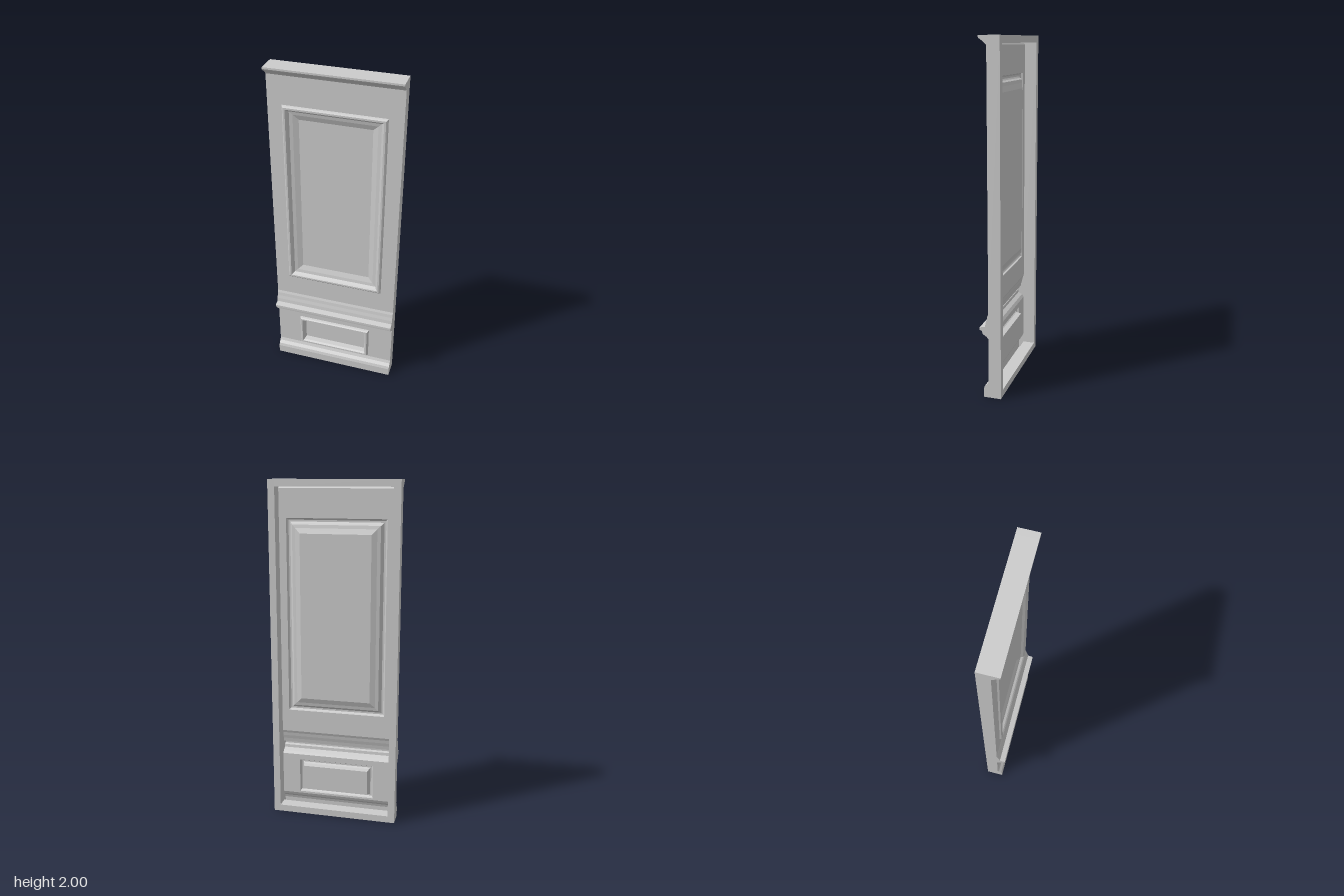
import * as THREE from 'three';

const W = 0.375, H = 2, BACK = -0.062, FACE = 0.01, RIM = 0.04;
const IN = W - RIM;

// Front outline as [z, y], bottom to top
const base = [[0.04, 0], [0.04, 0.05], [0.034, 0.067], [0.018, 0.082], [FACE, 0.1]];
const chairRail = [[FACE, 0.355], [0.022, 0.37], [0.045, 0.383], [0.047, 0.4], [0.062, 0.406],
  [0.062, 0.42], [0.03, 0.428], [0.026, 0.45], [0.02, 0.47], [0.016, 0.49], [FACE, 0.505]];
const cornice = [[FACE, 1.95], [0.017, 1.958], [0.034, 1.972], [0.052, 1.985], [0.055, 1.99], [0.055, H]];

export function createModel() {
  const group = new THREE.Group();
  const solid = new THREE.MeshStandardMaterial({ color: 0xcccccc });
  const sheet = new THREE.MeshStandardMaterial({ color: 0xcccccc, side: THREE.DoubleSide });

  const add = (name, geometry, material) => {
    const mesh = new THREE.Mesh(geometry, material);
    mesh.name = name;
    group.add(mesh);
    return mesh;
  };

  // Quads between successive rows of points
  const loft = (rows) => {
    const p = [];
    for (let i = 0; i < rows.length - 1; i++) {
      for (let j = 0; j < rows[i].length - 1; j++) {
        const a = rows[i][j], b = rows[i][j + 1], c = rows[i + 1][j + 1], d = rows[i + 1][j];
        p.push(...a, ...b, ...c, ...a, ...c, ...d);
      }
    }
    const g = new THREE.BufferGeometry();
    g.setAttribute('position', new THREE.Float32BufferAttribute(p, 3));
    g.computeVertexNormals();
    return g;
  };

  // Side stiles carry the full moulding outline at their ends
  const outline = new THREE.Shape([[BACK, 0], ...base, ...chairRail, ...cornice, [BACK, H]]
    .map(([z, y]) => new THREE.Vector2(z, y)));
  for (const [name, x] of [['leftStile', W], ['rightStile', -IN]]) {
    const g = new THREE.ExtrudeGeometry(outline, { depth: RIM, bevelEnabled: false });
    g.rotateY(-Math.PI / 2);
    add(name, g, solid).position.x = x;
  }

  // Top and bottom rails close the hollow back
  for (const [name, y] of [['bottomRail', RIM / 2], ['topRail', H - RIM / 2]]) {
    const rail = add(name, new THREE.BoxGeometry(2 * IN, RIM, FACE - BACK), solid);
    rail.position.set(0, y, (FACE + BACK) / 2);
  }

  // Horizontal mouldings, hollow behind
  for (const [name, profile] of Object.entries({ baseboard: base, chairRail, cornice })) {
    add(name, loft(profile.map(([z, y]) => [[-IN, y, z], [IN, y, z]])), sheet);
  }
  for (const [name, y, dir] of [['baseUnderside', 0, -1], ['corniceTop', H, 1]]) {
    const z = dir < 0 ? 0.04 : 0.055;
    const back = [[-IN, y, FACE], [IN, y, FACE]], front = [[-IN, y, z], [IN, y, z]];
    add(name, loft(dir < 0 ? [back, front] : [front, back]), sheet);
  }

  const rect = (x, y0, y1, z) =>
    [[-x, y0, z], [x, y0, z], [x, y1, z], [-x, y1, z], [-x, y0, z]];

  // Flat wall with an opening, filled by a framed recessed panel.
  // Steps are [inset from the frame edge, z].
  const panelWall = (name, wall0, wall1, x, y0, y1, steps) => {
    const toPoints = (r) => r.slice(0, 4).map(([px, py]) => new THREE.Vector2(px, py));
    const shape = new THREE.Shape(toPoints(rect(IN, wall0, wall1, 0)));
    shape.holes.push(new THREE.Path(toPoints(rect(x, y0, y1, 0))));
    add(name + 'Wall', new THREE.ShapeGeometry(shape), sheet).position.z = FACE;

    const rows = steps.map(([inset, z]) => rect(x - inset, y0 + inset, y1 - inset, z));
    add(name + 'Frame', loft(rows), sheet);
    const [inset, z] = steps[steps.length - 1];
    const field = new THREE.PlaneGeometry(2 * (x - inset), y1 - y0 - 2 * inset);
    add(name + 'Field', field, sheet).position.set(0, (y0 + y1) / 2, z);
  };

  panelWall('upperPanel', 0.505, 1.95, 0.292, 0.64, 1.785, [[0, FACE], [0.003, 0.02], [0.01, 0.025],
    [0.02, 0.025], [0.028, 0.018], [0.036, 0.004], [0.055, 0], [0.085, -0.012]]);
  panelWall('lowerPanel', 0.1, 0.355, 0.228, 0.112, 0.322, [[0, FACE], [0.003, 0.022], [0.009, 0.029],
    [0.018, 0.029], [0.025, 0.018], [0.03, -0.012]]);

  return group;
}
